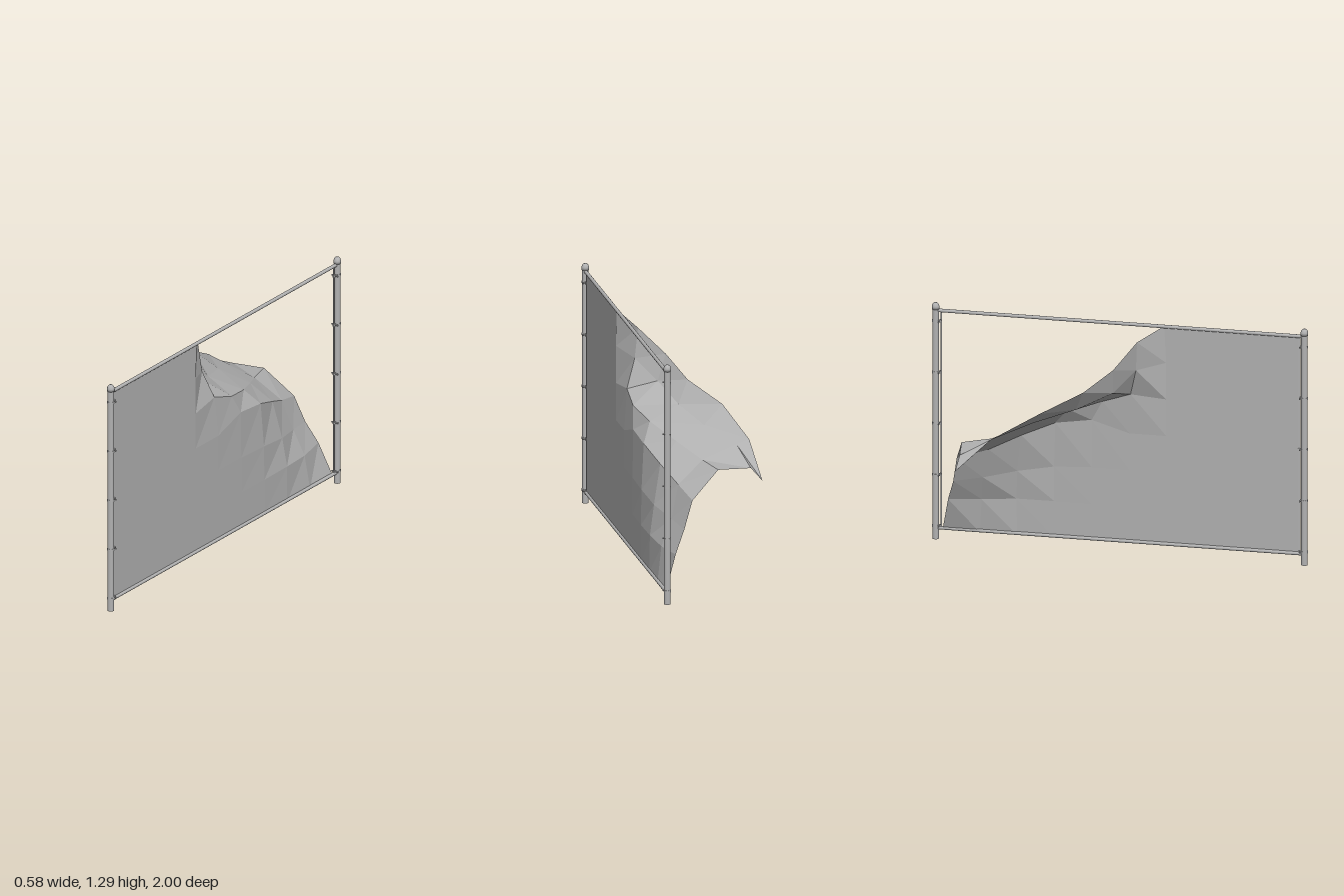
import * as THREE from 'three';

const PLANE_X = 0.267; // plane of the fence
const POST_Z = 0.98;

export function createModel() {
  const fence = new THREE.Group();
  fence.name = 'tornFence';

  const steel = new THREE.MeshStandardMaterial({ color: 0xb2b2b2 });
  steel.name = 'galvanised steel';
  const wire = new THREE.MeshStandardMaterial({ color: 0xb0b0b0, side: THREE.DoubleSide, flatShading: true });
  wire.name = 'wire mesh grey';

  const add = (name, geometry, x, y, z, parent = fence) => {
    const mesh = new THREE.Mesh(geometry, steel);
    mesh.name = name;
    mesh.position.set(x, y, z);
    parent.add(mesh);
    return mesh;
  };

  // Posts with domed caps, clamp bands and the thin tension bars beside them
  const capProfile = [[0, 0], [0.02, 0], [0.02, 0.014], [0.017, 0.025], [0.01, 0.033], [0, 0.036]]
    .map(([r, y]) => new THREE.Vector2(r, y));
  for (const side of [1, -1]) {
    const post = new THREE.Group();
    post.name = side > 0 ? 'frontPost' : 'backPost';
    fence.add(post);
    const z = side * POST_Z;
    add('pole', new THREE.CylinderGeometry(0.0175, 0.0175, 1.26, 16), PLANE_X, 0.63, z, post);
    add('cap', new THREE.LatheGeometry(capProfile, 16), PLANE_X, 1.255, z, post);
    add('tensionBar', new THREE.BoxGeometry(0.005, 1.19, 0.008), PLANE_X, 0.65, side * 0.95, post);
    for (let k = 0; k < 5; k++) {
      const y = 0.07 + k * 0.28;
      add('band', new THREE.CylinderGeometry(0.0186, 0.0186, 0.012, 16), PLANE_X, y, z, post);
      add('bandTab', new THREE.BoxGeometry(0.009, 0.012, 0.02), PLANE_X, y, side * 0.957, post);
      const bolt = add('bolt', new THREE.CylinderGeometry(0.004, 0.004, 0.042, 6), PLANE_X, y, side * 0.96, post);
      bolt.rotation.z = Math.PI / 2;
    }
  }

  // Horizontal rails
  for (const [name, y] of [['topRail', 1.248], ['bottomRail', 0.06]]) {
    const rail = add(name, new THREE.CylinderGeometry(0.0095, 0.0095, 1.94, 12), PLANE_X, y, 0);
    rail.rotation.x = Math.PI / 2;
  }

  // Wire sheet: a 6 x 6 patch whose upper back corner is peeled off the frame.
  // Rows run upward, columns run toward the back; points are [x, y, z].
  const X = PLANE_X;
  const peeled = [
    [[X, 0.25, 0.05], [X, 0.25, -0.15], [X, 0.25, -0.35], [0.264, 0.25, -0.55], [0.243, 0.24, -0.73], [0.205, 0.24, -0.90]],
    [[X, 0.45, 0.05], [X, 0.45, -0.15], [0.264, 0.44, -0.35], [0.24, 0.41, -0.54], [0.185, 0.38, -0.71], [0.15, 0.36, -0.86]],
    [[X, 0.65, 0.05], [0.264, 0.71, -0.15], [0.25, 0.685, -0.34], [0.20, 0.62, -0.51], [0.14, 0.55, -0.67], [0.10, 0.505, -0.83]],
    [[0.25, 0.87, 0.06], [0.25, 0.82, -0.09], [0.20, 0.78, -0.26], [0.10, 0.72, -0.45], [0, 0.66, -0.62], [-0.05, 0.645, -0.77]],
    [[0.20, 1.02, 0.10], [0.10, 0.92, 0], [0.03, 0.84, -0.18], [-0.06, 0.78, -0.39], [-0.19, 0.72, -0.58], [-0.23, 0.635, -0.74]],
    [[0.18, 1.18, 0.11], [0.055, 1.06, 0.01], [-0.03, 0.955, -0.13], [-0.17, 0.87, -0.33], [-0.26, 0.74, -0.57], [-0.29, 0.565, -0.75]],
  ];
  const grid = [];
  for (let j = 0; j <= 6; j++) {
    const row = [[X, 0.05 + j * 0.2, 0.96], [X, 0.05 + j * 0.2, 0.245]];
    for (let i = 1; i <= 6; i++) row.push(j ? peeled[j - 1][i - 1] : [X, 0.05, 0.245 - i * 0.198]);
    grid.push(row);
  }
  grid[6][0] = [X, 1.258, 0.96];
  grid[6][1] = [X, 1.25, 0.235];

  const positions = [];
  for (let j = 0; j < 6; j++) {
    for (let i = 0; i < 7; i++) {
      const a = grid[j][i], b = grid[j][i + 1], c = grid[j + 1][i + 1], d = grid[j + 1][i];
      positions.push(...a, ...b, ...c, ...a, ...c, ...d);
    }
  }
  const sheetGeometry = new THREE.BufferGeometry();
  sheetGeometry.setAttribute('position', new THREE.Float32BufferAttribute(positions, 3));
  sheetGeometry.computeVertexNormals();
  const sheet = new THREE.Mesh(sheetGeometry, wire);
  sheet.name = 'peeledWireSheet';
  fence.add(sheet);

  return fence;
}
